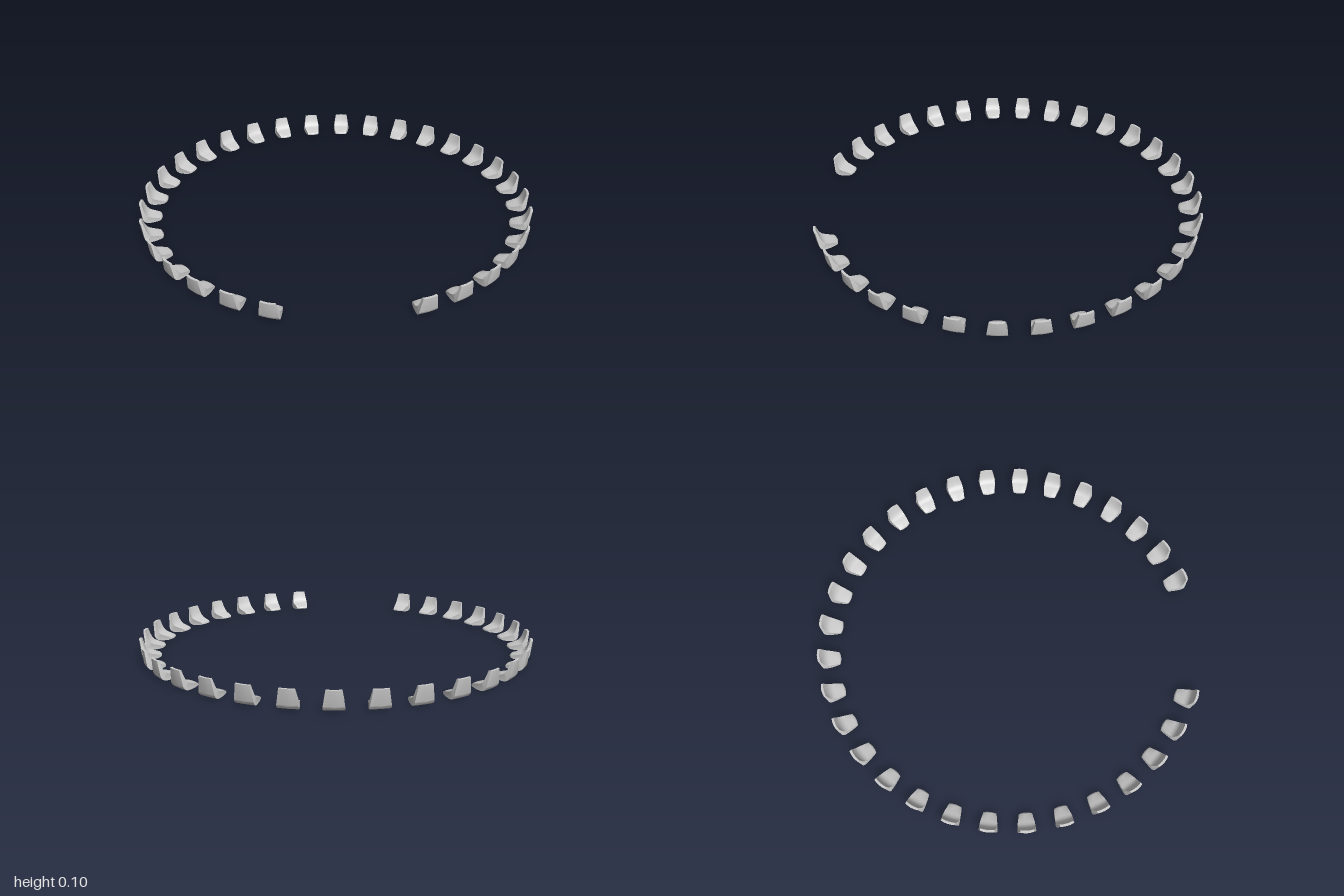
import * as THREE from 'three';
import { toCreasedNormals } from 'three/addons/utils/BufferGeometryUtils.js';

const HEIGHT = 0.097;
const COUNT = 30;
const STEP = THREE.MathUtils.degToRad(11.04);
const START = THREE.MathUtils.degToRad(2.9);

// Radial profile of one block: x is distance from the ring's centre, y is up
function blockProfile() {
  const s = new THREE.Shape();
  s.moveTo(0.99, HEIGHT);
  s.bezierCurveTo(0.978, 0.055, 0.97, 0.036, 0.944, 0.03); // concave inner wall
  s.lineTo(0.902, 0.02);                                   // top of the foot
  s.quadraticCurveTo(0.892, 0.016, 0.894, 0.008);          // rounded toe
  s.quadraticCurveTo(0.91, 0.001, 0.955, 0);               // underside
  s.quadraticCurveTo(0.986, 0.001, 0.993, 0.025);          // rounded heel
  s.lineTo(1.002, HEIGHT);                                 // outer wall
  s.closePath();
  return s;
}

// Half the block's width: narrower at the top, towards the toe and at the very bottom
function halfWidth(r, y) {
  const toe = THREE.MathUtils.clamp((0.982 - r) / 0.09, 0, 1);
  const base = Math.max(0, 1 - y / 0.018);
  return 0.048 - 0.014 * (y / HEIGHT) ** 1.3 - 0.015 * toe ** 1.7 - 0.004 * base * base;
}

function blockGeometry() {
  const geo = new THREE.ExtrudeGeometry(blockProfile(), {
    depth: 2, steps: 4, curveSegments: 6, bevelEnabled: false,
  });
  geo.translate(0, 0, -1);
  const p = geo.attributes.position;
  for (let i = 0; i < p.count; i++) {
    const r = p.getX(i), y = p.getY(i), t = p.getZ(i);
    // pull the corners in a little so the outer wall and toe bulge
    p.setX(i, 0.95 + (r - 0.95) * (1 - 0.1 * t * t));
    p.setZ(i, t * halfWidth(r, y));
  }
  return toCreasedNormals(geo, 0.7);
}

export function createModel() {
  const model = new THREE.Group();
  model.name = 'blockRing';
  const geometry = blockGeometry();
  const material = new THREE.MeshStandardMaterial({ color: 0xcccccc });

  // Evenly spaced blocks, with a gap near the front
  for (let i = 0; i < COUNT; i++) {
    const angle = START + (i - 14) * STEP; // measured from the back towards +x
    const block = new THREE.Mesh(geometry, material);
    block.name = `block${i + 1}`;
    block.position.z = 0.007;
    block.rotation.y = Math.PI / 2 - angle;
    model.add(block);
  }
  return model;
}
